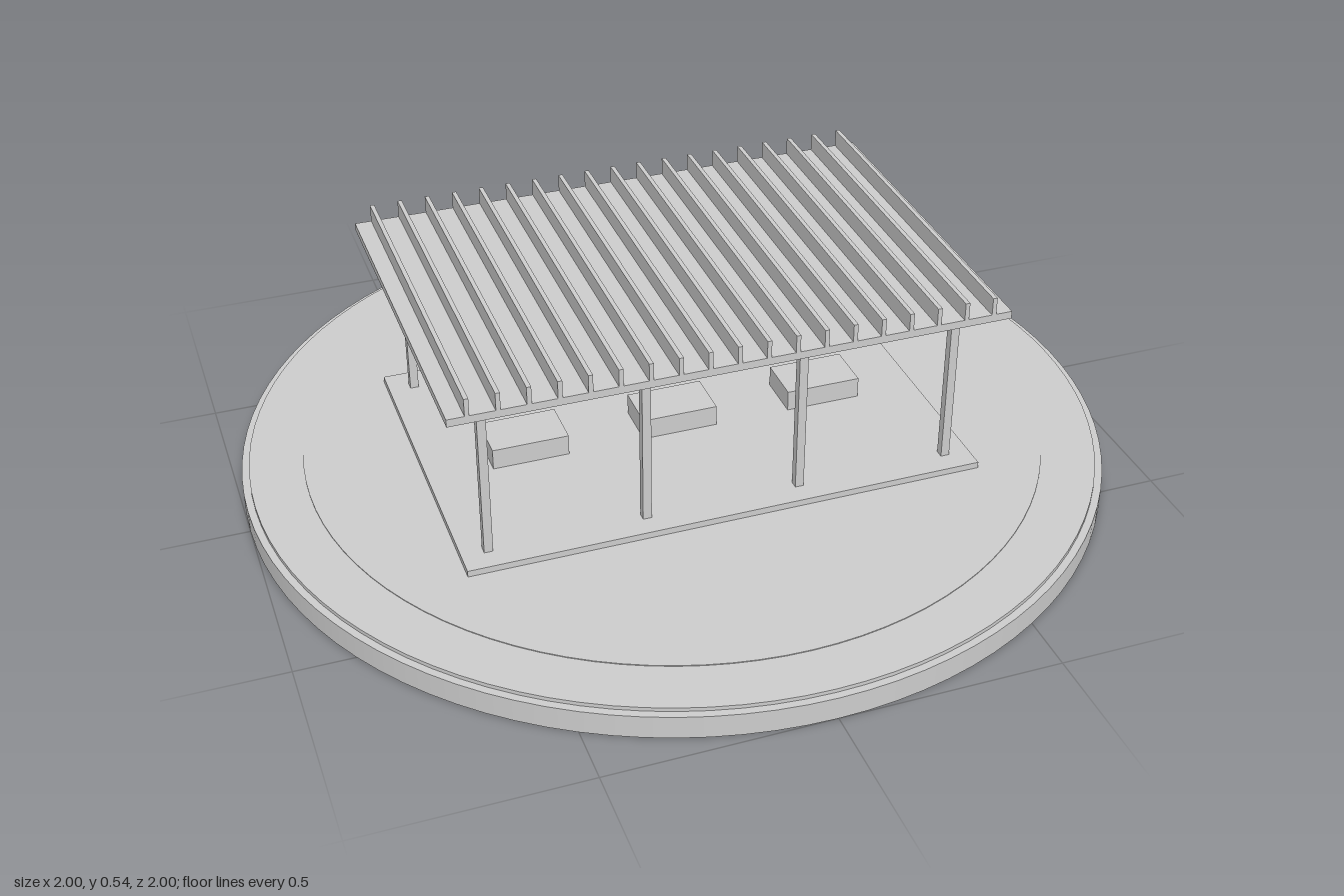
import * as THREE from 'three';

const grey = new THREE.MeshStandardMaterial({ color: 0xcccccc });
grey.name = 'pale grey';

export function createModel() {
  const model = new THREE.Group();
  model.name = 'pavilion';

  const add = (name, geometry, x, y, z) => {
    const mesh = new THREE.Mesh(geometry, grey);
    mesh.name = name;
    mesh.position.set(x, y, z);
    model.add(mesh);
  };
  // Box given by its centre in x and z and its bottom and top heights
  const box = (name, w, d, y0, y1, x = 0, z = 0) =>
    add(name, new THREE.BoxGeometry(w, y1 - y0, d), x, (y0 + y1) / 2, z);
  const disc = (name, r, y0, y1) =>
    add(name, new THREE.CylinderGeometry(r, r, y1 - y0, 96), 0, (y0 + y1) / 2, 0);

  // Round base with a raised border and inner lawn
  disc('base', 1, 0, 0.054);
  disc('border', 0.983, 0.054, 0.063);
  disc('innerGround', 0.86, 0.063, 0.065);

  // Floor slab
  box('floor', 1.2, 0.8, 0.064, 0.08);

  // Two rows of posts, each carrying a beam
  for (const z of [-0.34, 0.34]) {
    for (const x of [-0.54, -0.18, 0.18, 0.54]) box('post', 0.02, 0.02, 0.08, 0.44, x, z);
    box('beam', 1.14, 0.02, 0.44, 0.476, 0, z);
  }

  // Roof deck with upright fins
  box('roof', 1.26, 0.86, 0.476, 0.494);
  for (let i = -9; i <= 9; i++) box('roofFin', 0.01, 0.86, 0.494, 0.535, i * 0.0652);

  // Back screen between the rear posts
  box('backPanel', 0.92, 0.008, 0.13, 0.375, 0, -0.34);

  // Benches
  for (const x of [-0.36, 0, 0.36]) box('bench', 0.18, 0.116, 0.08, 0.13, x);

  return model;
}
